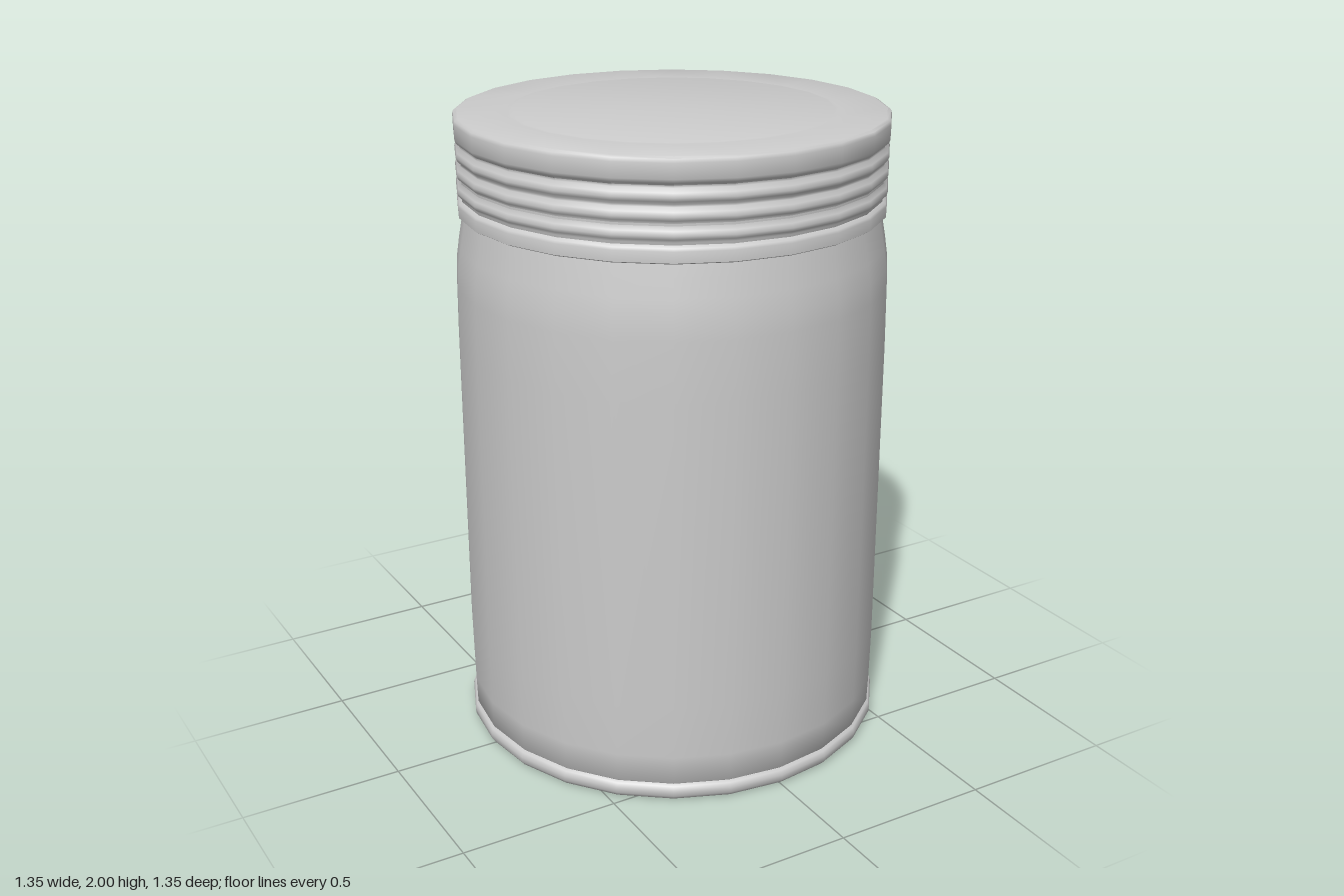
import * as THREE from 'three';
import { toCreasedNormals } from 'three/addons/utils/BufferGeometryUtils.js';

const SIDES = 24;
const material = new THREE.MeshStandardMaterial({ color: 0xcccccc });

// Turned part from a [radius, height] profile, listed bottom to top
function turned(name, profile) {
  const points = profile.map(([r, y]) => new THREE.Vector2(r, y));
  const geometry = toCreasedNormals(new THREE.LatheGeometry(points, SIDES), 0.9);
  const mesh = new THREE.Mesh(geometry, material);
  mesh.name = name;
  return mesh;
}

export function createModel() {
  const group = new THREE.Group();
  group.name = 'jar';

  // Base rim with a rounded edge and a closed bottom
  group.add(turned('baseRim', [
    [0, 0.005], [0.6, 0.005], [0.65, 0], [0.665, 0.005], [0.674, 0.018],
    [0.675, 0.035], [0.67, 0.05], [0.655, 0.056],
  ]));

  // Straight body narrowing at the shoulder to the neck
  group.add(turned('body', [
    [0.655, 0.05], [0.665, 0.06], [0.668, 0.15], [0.671, 0.32], [0.671, 1.3], [0.669, 1.48],
    [0.666, 1.54], [0.657, 1.6], [0.646, 1.66], [0.638, 1.71], [0.63, 1.75],
  ]));

  // Screw lid: lower edge, stacked ribs, plain upper band, faintly raised centre
  const lid = [[0.62, 1.698], [0.65, 1.698], [0.657, 1.702], [0.658, 1.735], [0.655, 1.743]];
  for (let i = 0; i < 4; i++) {
    const y = 1.75 + i * 0.053;
    lid.push([0.645, y], [0.645, y + 0.007], [0.655, y + 0.017], [0.659, y + 0.028], [0.655, y + 0.041]);
  }
  lid.splice(-3, 3);
  lid.push([0.655, 1.924], [0.66, 1.935], [0.661, 1.98], [0.658, 1.991], [0.648, 1.996],
    [0.5, 1.996], [0.49, 1.997], [0.48, 2], [0, 2]);
  group.add(turned('lid', lid));

  return group;
}
